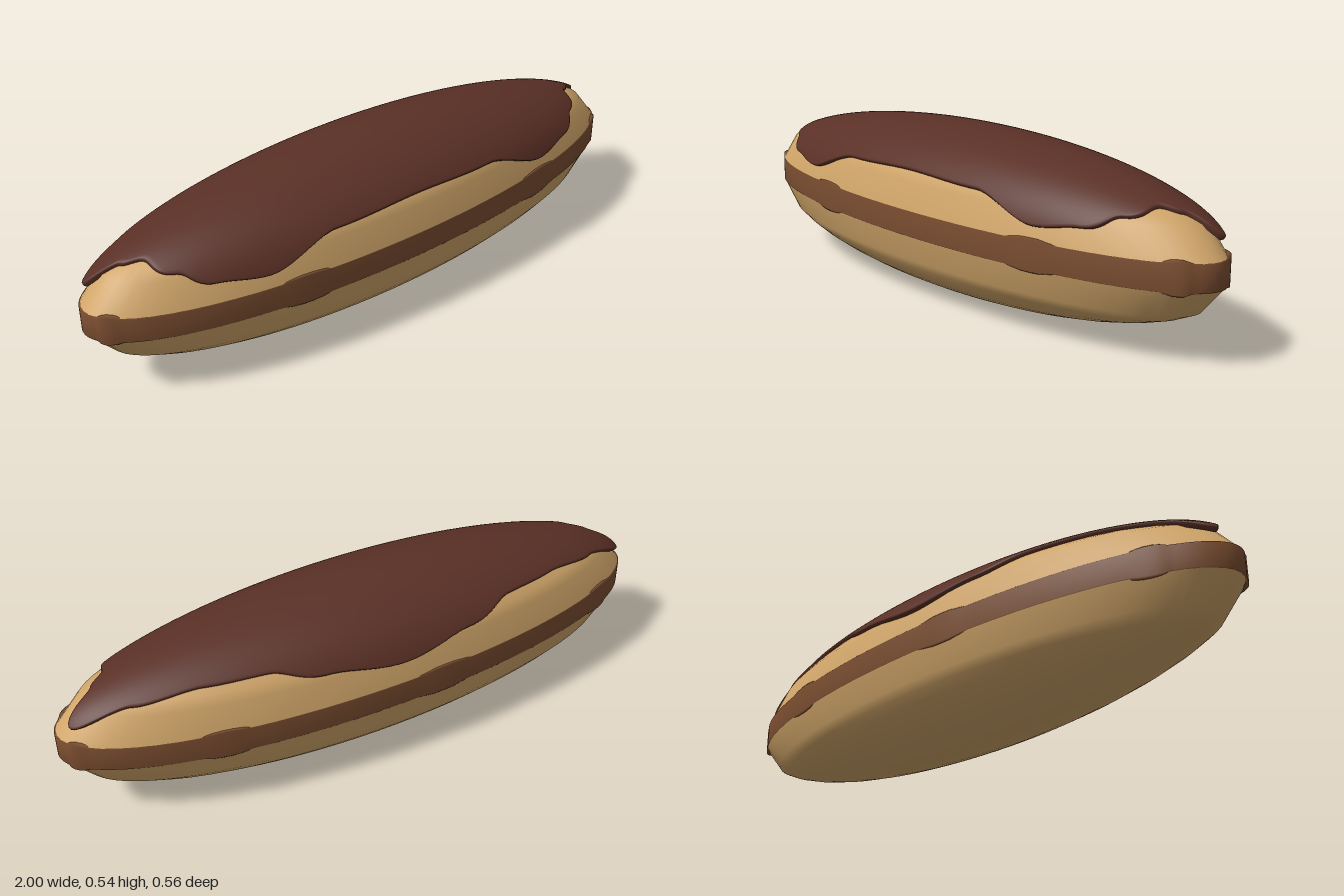
import * as THREE from 'three';
import { mergeVertices } from 'three/addons/utils/BufferGeometryUtils.js';

const RX = 0.995, RZ = 0.277; // plan radii of the pastry
const TOP = 0.30, BOTTOM = 0.22; // cut faces of the two halves

// Smooth closed surface: u runs round the plan, v runs downwards
function surface(nu, nv, fn) {
  const pos = [], idx = [];
  for (let j = 0; j <= nv; j++)
    for (let i = 0; i < nu; i++) pos.push(...fn((i / nu) * Math.PI * 2, j));
  for (let j = 0; j < nv; j++)
    for (let i = 0; i < nu; i++) {
      const a = j * nu + i, b = j * nu + ((i + 1) % nu);
      idx.push(a, b, a + nu, b, b + nu, a + nu);
    }
  let g = new THREE.BufferGeometry();
  g.setAttribute('position', new THREE.Float32BufferAttribute(pos, 3));
  g.setIndex(idx);
  g = mergeVertices(g, 1e-5);
  g.computeVertexNormals();
  return g;
}

// Point on a half ellipsoid at an elevation angle, pushed out along its normal
function domePoint(phi, elev, height, push = 0) {
  const c = Math.cos(elev), s = Math.sin(elev);
  const p = new THREE.Vector3(RX * c * Math.cos(phi), height * s, RZ * c * Math.sin(phi));
  const n = new THREE.Vector3(p.x / RX ** 2, p.y / height ** 2, p.z / RZ ** 2).normalize();
  return p.addScaledVector(n, push);
}

// Lower edge of the icing: plan angle in degrees (back to front) and height
const EDGE = [
  [-90, 0.37], [-74, 0.402], [-59, 0.438], [-43, 0.434], [-26, 0.407], [-10.5, 0.347],
  [3, 0.412], [12, 0.425], [31, 0.4], [45, 0.362], [57, 0.345], [70, 0.41], [90, 0.42],
];
function edgeHeight(phi) {
  const d = THREE.MathUtils.radToDeg(Math.asin(THREE.MathUtils.clamp(Math.sin(phi), -1, 1)));
  let k = 0;
  while (k < EDGE.length - 2 && d > EDGE[k + 1][0]) k++;
  const [a, ya] = EDGE[k], [b, yb] = EDGE[k + 1];
  return ya + (yb - ya) * THREE.MathUtils.smoothstep(d, a, b);
}

export function createModel() {
  const bunMat = new THREE.MeshStandardMaterial({ name: 'goldenPastry', color: 0xd0a569 });
  const creamMat = new THREE.MeshStandardMaterial({ name: 'chocolateCream', color: 0x7a4d30 });
  const icingMat = new THREE.MeshStandardMaterial({ name: 'darkIcing', color: 0x5a3026 });
  const group = new THREE.Group();
  group.name = 'filledPastry';
  const add = (name, geo, mat) => {
    const m = new THREE.Mesh(geo, mat);
    m.name = name;
    group.add(m);
  };

  // Pastry halves, with one broad facet next to the cut
  const elevs = [0, 22, 30, 38, 46, 54, 62, 70, 80, 90].map(THREE.MathUtils.degToRad);
  const last = elevs.length - 1;
  add('topBun', surface(72, last, (phi, j) => {
    const p = domePoint(phi, elevs[last - j], 0.224);
    return [p.x, TOP + p.y, p.z];
  }), bunMat);
  add('bottomBun', surface(72, last, (phi, j) => {
    const p = domePoint(phi, elevs[j], 0.22);
    return [p.x, BOTTOM - p.y, p.z];
  }), bunMat);

  // Cream band, squeezed out a little in a few places
  const band = [[0.93, 0.042], [0.99, 0.042], [1, 0.038], [1, 0], [1, -0.038], [0.99, -0.042], [0.93, -0.042]];
  const squeezes = [20, 58, 115, 165, 215, 262, 305, 345];
  add('creamFilling', surface(180, band.length - 1, (phi, j) => {
    const deg = THREE.MathUtils.radToDeg(phi);
    const bulge = squeezes.reduce((s, q) => s + Math.exp(-(((deg - q) / 4) ** 4)), 0);
    const [r, h] = band[j];
    const k = r + 0.006 * bulge;
    return [Math.cos(phi) * k, 0.26 + h * (1 + 0.18 * bulge), Math.sin(phi) * 0.278 * k];
  }), creamMat);

  // Icing shell with a rounded dripping rim
  const rows = 24;
  const rim = [[0.006, 0.0115], [0, 0.008], [-0.006, 0.003], [0, -0.006]];
  add('icing', surface(240, rows + rim.length, (phi, j) => {
    const edge = Math.asin((edgeHeight(phi) - TOP) / 0.235);
    let elev, push = 0.012;
    if (j <= rows) elev = Math.PI / 2 + (edge + 0.03 - Math.PI / 2) * (j / rows);
    else {
      elev = edge + rim[j - rows - 1][0];
      push = rim[j - rows - 1][1];
    }
    const p = domePoint(phi, elev, 0.224, push);
    return [p.x, TOP + p.y, p.z];
  }), icingMat);

  return group;
}
